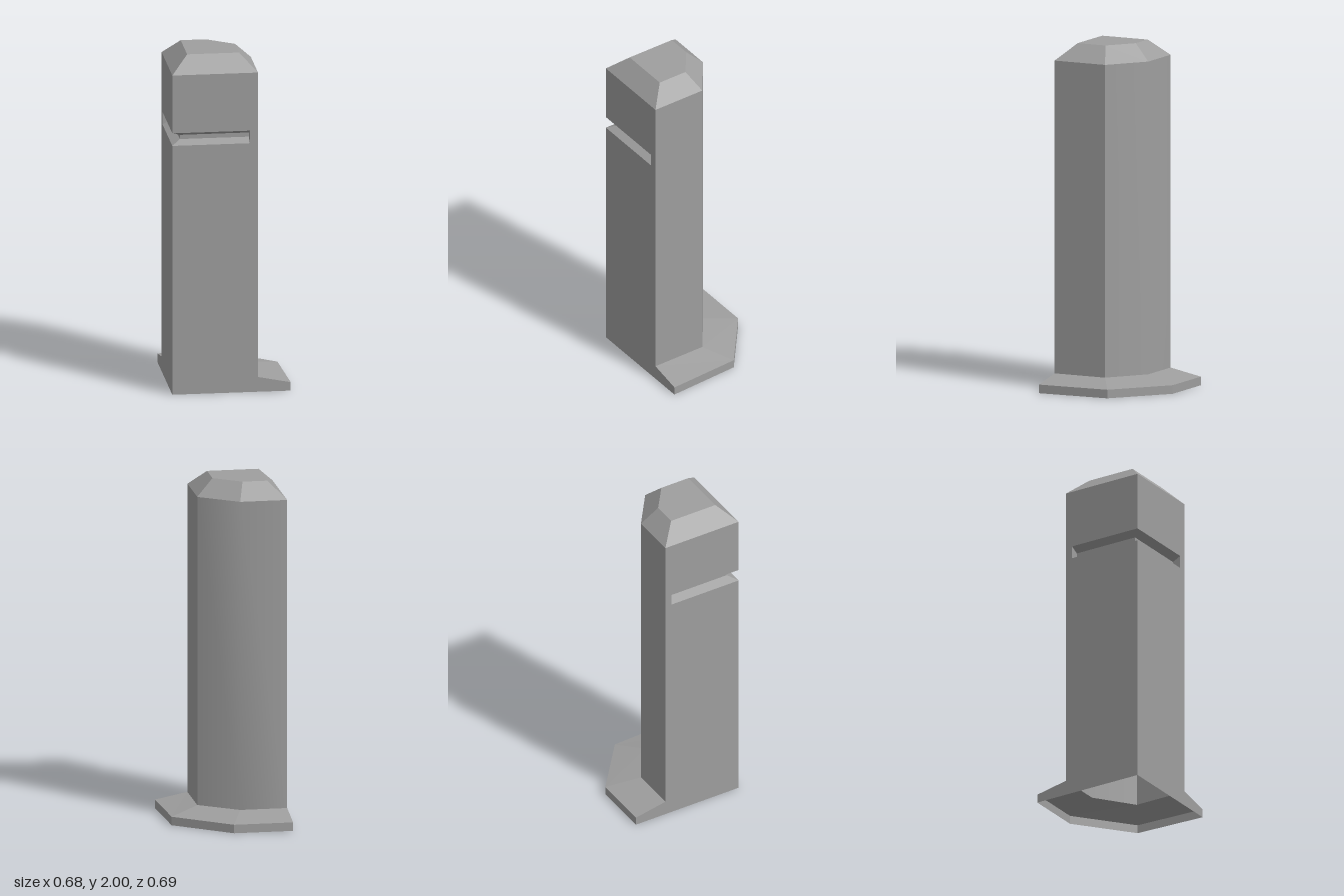
import * as THREE from 'three';
import { toCreasedNormals } from 'three/addons/utils/BufferGeometryUtils.js';

const material = new THREE.MeshStandardMaterial({ color: 0x9e9e9e, side: THREE.DoubleSide });

// Plan outlines as [x, z], from the back left corner round to the front left corner
const footPlan = [[-0.343, -0.343], [0, -0.343], [0.319, -0.088], [0.341, 0.343], [-0.343, 0.343]];
const postPlan = [[-0.343, -0.147], [-0.07, -0.147], [0.152, 0.015], [0.152, 0.343], [-0.343, 0.343]];
const topPlan = [[-0.245, -0.05], [-0.1, -0.05], [0.055, 0.065], [0.055, 0.245], [-0.245, 0.245]];

const at = (plan, y) => plan.map(([x, z]) => [x, y, z]);

// Triangles of the wall that joins successive rings
function loft(rings, closed = true) {
  const out = [];
  for (let r = 0; r < rings.length - 1; r++) {
    const lo = rings[r], hi = rings[r + 1], n = lo.length;
    for (let i = 0; i < (closed ? n : n - 1); i++) {
      const j = (i + 1) % n;
      out.push(lo[i], hi[i], hi[j], lo[i], hi[j], lo[j]);
    }
  }
  return out;
}

// Upright open wall along a plan path
const wall = (path, low, high) => loft([at(path, low), at(path, high)], false);

// Triangles of a flat convex face
function fan(points) {
  const out = [];
  for (let i = 1; i < points.length - 1; i++) out.push(points[0], points[i], points[i + 1]);
  return out;
}

// Mesh with flat faces
function part(name, triangles) {
  const geometry = new THREE.BufferGeometry();
  geometry.setAttribute('position', new THREE.Float32BufferAttribute(triangles.flat(), 3));
  geometry.computeVertexNormals();
  const mesh = new THREE.Mesh(geometry, material);
  mesh.name = name;
  return mesh;
}

export function createModel() {
  const group = new THREE.Group();
  group.name = 'cornerPost';
  const postLow = 0.088, postHigh = 1.905, grooveLow = 1.485, grooveHigh = 1.56;

  // Foot: upright rim and sloping flange, open underneath
  group.add(part('foot', loft([at(footPlan, 0), at(footPlan, 0.05), at(postPlan, postLow)])));

  // Post: plain back and right walls, softly shaded over the shallow back corner
  const backWalls = part('backWalls', wall(postPlan.slice(0, 4), postLow, postHigh));
  backWalls.geometry = toCreasedNormals(backWalls.geometry, THREE.MathUtils.degToRad(40));
  group.add(backWalls);

  // Front and left walls below, above and beside the groove
  const frontPath = [postPlan[3], postPlan[4], postPlan[0]];
  group.add(part('frontWalls', [
    ...wall(frontPath, postLow, grooveLow),
    ...wall(frontPath, grooveHigh, postHigh),
    ...wall([postPlan[3], [0.105, 0.343]], grooveLow, grooveHigh),
    ...wall([[-0.343, -0.105], postPlan[0]], grooveLow, grooveHigh),
  ]));

  // Groove: tapered recess wrapping the front left corner, closed at both ends
  const profile = [[grooveLow, 0], [1.51, 0.05], [1.535, 0.05], [grooveHigh, 0]];
  const rings = profile.map(([y, d]) =>
    at([[0.105, 0.343 - d], [-0.343 + d, 0.343 - d], [-0.343 + d, -0.105]], y));
  group.add(part('groove', [
    ...loft(rings, false),
    ...fan(rings.map((ring) => ring[0]).reverse()),
    ...fan(rings.map((ring) => ring[2])),
  ]));

  // Cap: bevelled sides and flat top
  const top = at(topPlan, 2);
  group.add(part('cap', [...loft([at(postPlan, postHigh), top]), ...fan([...top].reverse())]));

  return group;
}
